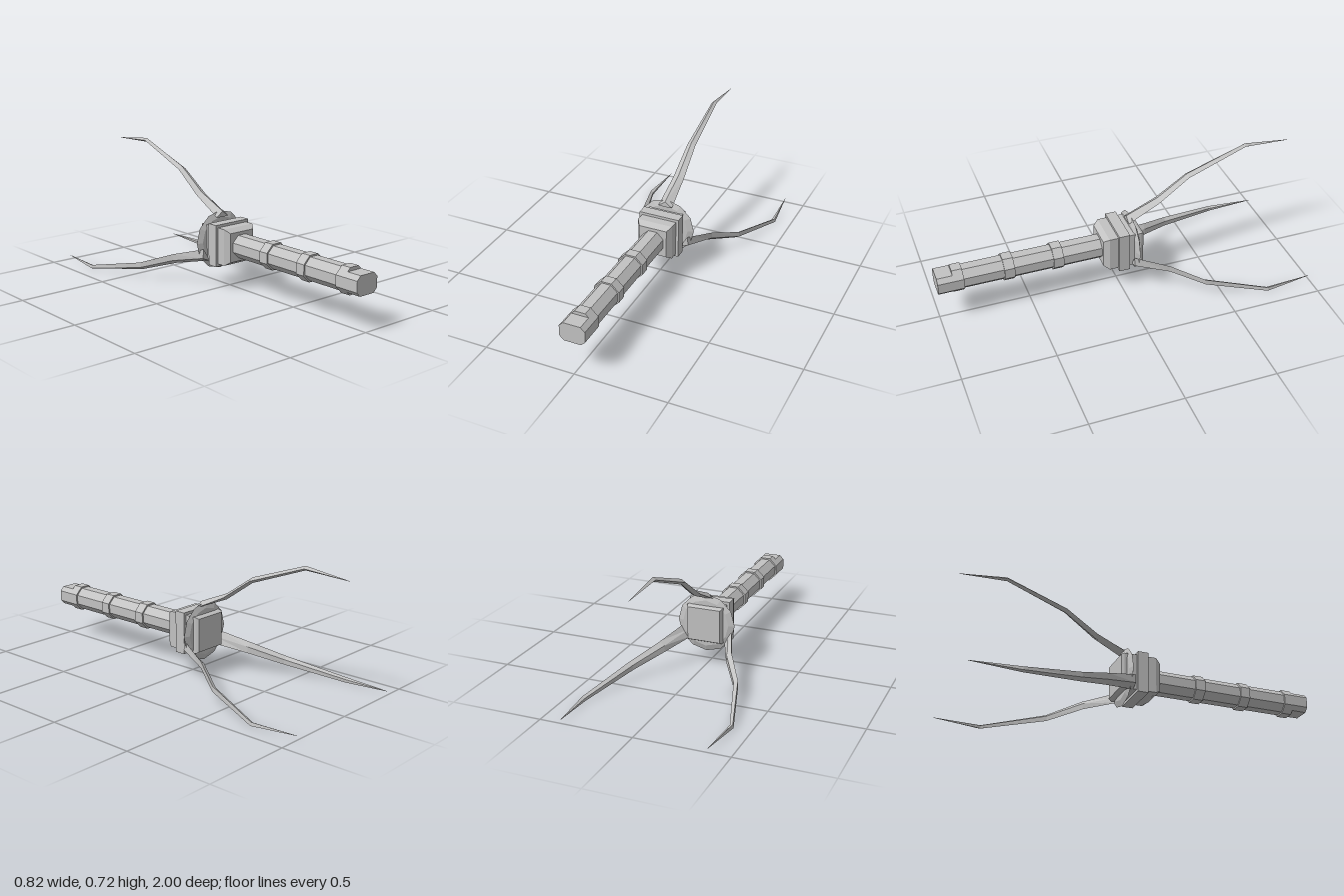
import * as THREE from 'three';

const AXIS_Y = 0.244; // height of the long axis

export function createModel() {
  const model = new THREE.Group();
  model.name = 'threeProngedTool';
  const metal = new THREE.MeshStandardMaterial({ color: 0xc2c2c2 });
  metal.name = 'pale grey metal';

  // Adds a faceted mesh with one normal per face
  const add = (name, geometry, parent = model) => {
    const flat = geometry.index ? geometry.toNonIndexed() : geometry;
    flat.computeVertexNormals();
    const mesh = new THREE.Mesh(flat, metal);
    mesh.name = name;
    parent.add(mesh);
    return mesh;
  };

  // Regular prism or frustum along z; half sizes are measured to the flat sides
  const prism = (name, sides, front, back, zFront, zBack) => {
    const k = 1 / Math.cos(Math.PI / sides);
    const g = new THREE.CylinderGeometry(front * k, back * k, zFront - zBack, sides, 1, false, Math.PI / sides);
    g.rotateX(Math.PI / 2);
    g.translate(0, AXIS_Y, (zFront + zBack) / 2);
    return add(name, g);
  };

  // Octagonal handle with raised bands
  prism('handleShaft', 8, 0.062, 0.062, 0.915, 0.08);
  for (const z of [0.345, 0.615, 0.888]) {
    prism('handleBand', 8, 0.07, 0.07, z + 0.028, z - 0.028);
  }

  // End cap: the octagon with its top and bottom cut flat
  const end = new THREE.Shape([
    [0.07, -0.029], [0.07, 0.029], [0.047, 0.052], [-0.047, 0.052],
    [-0.07, 0.029], [-0.07, -0.029], [-0.047, -0.052], [0.047, -0.052],
  ].map(([x, y]) => new THREE.Vector2(x, y)));
  const endGeometry = new THREE.ExtrudeGeometry(end, { depth: 0.09, bevelEnabled: false });
  endGeometry.translate(0, AXIS_Y, 0.91);
  add('handleEnd', endGeometry);

  // Square head block with chamfered front, collar and rear block
  prism('headChamfer', 4, 0.08, 0.1, 0.1, 0.07);
  prism('headFront', 4, 0.1, 0.1, 0.07, 0.02);
  prism('headCollar', 4, 0.115, 0.115, 0.02, -0.04);
  prism('headRear', 4, 0.1, 0.1, -0.04, -0.11);
  prism('headRearChamfer', 4, 0.1, 0.092, -0.11, -0.125);

  // Twelve-sided disc with bevelled rim
  const profile = [[0, -0.014], [0.13, -0.012], [0.162, 0], [0.13, 0.012], [0, 0.014]]
    .map(([r, y]) => new THREE.Vector2(r, y));
  const disc = new THREE.LatheGeometry(profile, 12);
  disc.rotateX(Math.PI / 2);
  disc.translate(0, AXIS_Y, -0.083);
  add('disc', disc);

  // Curved prong of diamond section: z and radius of the ridge, half width, depth to sides, depth to bottom
  const sections = [
    [-0.06, 0.161, 0.04, 0.03, 0.032],
    [-0.24, 0.238, 0.031, 0.018, 0.032],
    [-0.41, 0.356, 0.024, 0.016, 0.03],
    [-0.74, 0.474, 0.014, 0.013, 0.023],
    [-1.0, 0.444, 0.001, 0.001, 0.002],
  ];
  const prongGeometry = () => {
    const pos = [], idx = [];
    for (const [z, r, w, side, bottom] of sections) {
      pos.push(0, r, z, -w, r - side, z, 0, r - bottom, z, w, r - side, z);
    }
    for (let i = 0; i < sections.length - 1; i++) {
      for (let j = 0; j < 4; j++) {
        const a = i * 4 + j, b = i * 4 + (j + 1) % 4;
        idx.push(a, a + 4, b, b, a + 4, b + 4);
      }
    }
    const t = (sections.length - 1) * 4;
    idx.push(0, 1, 2, 0, 2, 3, t, t + 2, t + 1, t, t + 3, t + 2);
    const g = new THREE.BufferGeometry();
    g.setAttribute('position', new THREE.Float32BufferAttribute(pos, 3));
    g.setIndex(idx);
    return g;
  };
  ['topProng', 'rightProng', 'leftProng'].forEach((name, i) => {
    const prong = add(name, prongGeometry());
    prong.position.y = AXIS_Y;
    prong.rotation.z = i * Math.PI * 2 / 3;
  });

  return model;
}
